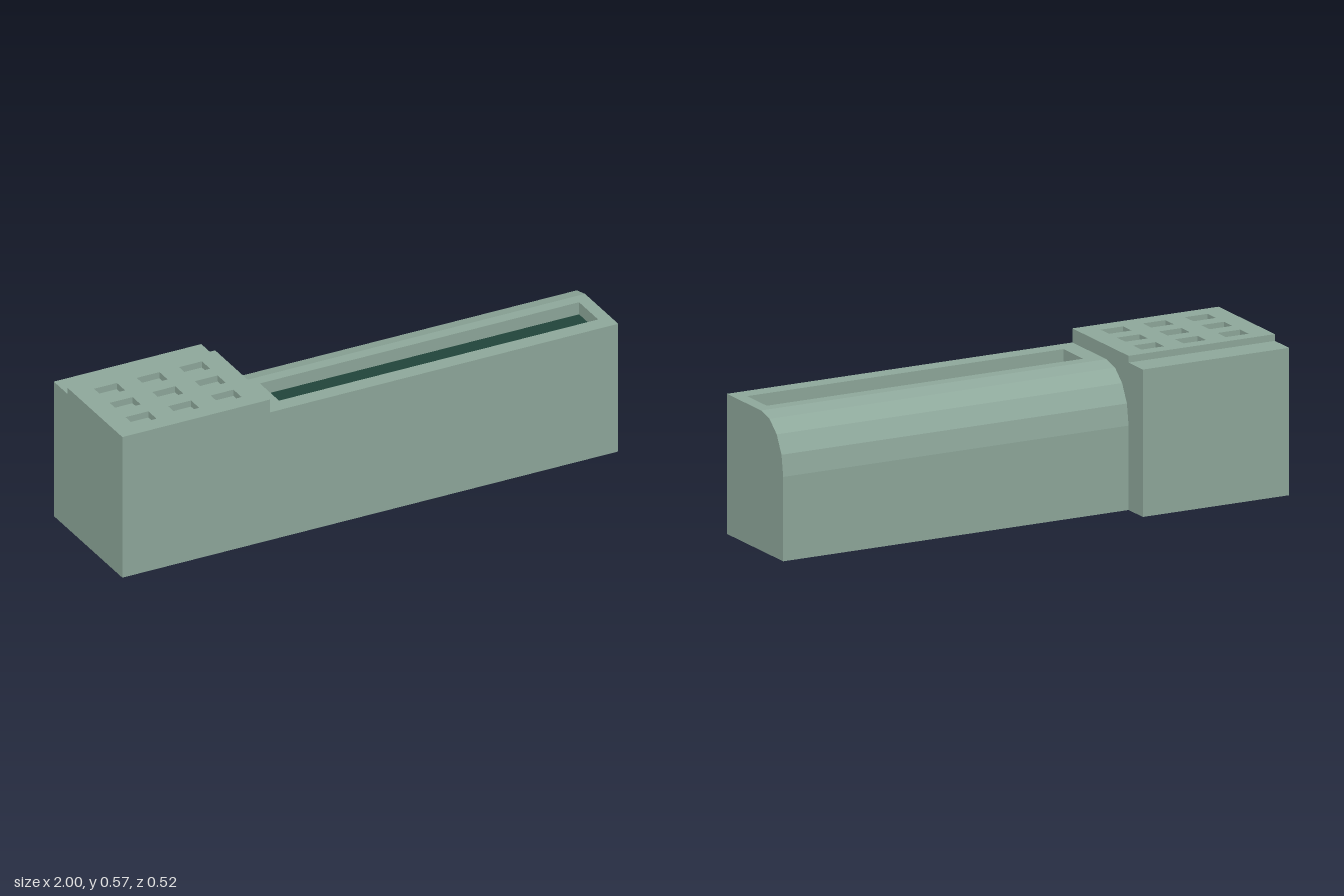
import * as THREE from 'three';

const wall = new THREE.MeshStandardMaterial({ color: 0x8fa99c });
wall.name = 'sage wall';
const glass = new THREE.MeshStandardMaterial({ color: 0x21453b });
glass.name = 'dark green glazing';

const FRONT = 0.26, BACK = -0.26, HALL_BACK = -0.155, SPLIT = -0.405;

function add(group, name, geometry, material = wall) {
  const mesh = new THREE.Mesh(geometry, material);
  mesh.name = name;
  group.add(mesh);
  return mesh;
}

// Box given by its minimum and maximum corners
function block(x0, x1, y0, y1, z0, z1) {
  return new THREE.BoxGeometry(x1 - x0, y1 - y0, z1 - z0)
    .translate((x0 + x1) / 2, (y0 + y1) / 2, (z0 + z1) / 2);
}

// Rectangle in plan, drawn with y = -z
function rect(Type, x0, x1, z0, z1) {
  return new Type([[x0, -z1], [x1, -z1], [x1, -z0], [x0, -z0]]
    .map(([x, y]) => new THREE.Vector2(x, y)));
}

// Horizontal slab with rectangular openings
function slab(outline, holes, y0, y1) {
  const shape = rect(THREE.Shape, ...outline);
  shape.holes = holes.map(h => rect(THREE.Path, ...h));
  return new THREE.ExtrudeGeometry(shape, { depth: y1 - y0, bevelEnabled: false })
    .rotateX(-Math.PI / 2).translate(0, y0, 0);
}

export function createModel() {
  const group = new THREE.Group();
  group.name = 'building';

  // Long hall: section extruded along x, with a faceted rear eave
  const floorY = 0.466, roofY = 0.518, eaveZ = 0.008, eaveY = 0.312;
  const section = [[FRONT, 0], [FRONT, floorY], [eaveZ, floorY]];
  for (let i = 0; i <= 4; i++) {
    const a = (i / 4) * Math.PI / 2;
    section.push([
      eaveZ + (HALL_BACK - eaveZ) * Math.sin(a),
      eaveY + (roofY - eaveY) * Math.cos(a),
    ]);
  }
  section.push([HALL_BACK, 0]);
  const hallShape = new THREE.Shape(section.map(([z, y]) => new THREE.Vector2(-z, y)));
  const hall = new THREE.ExtrudeGeometry(hallShape, { depth: 1 - SPLIT, bevelEnabled: false })
    .rotateY(Math.PI / 2).translate(SPLIT, 0, 0);
  add(group, 'hallBody', hall);

  // Flat roof with the long skylight recess and its glazing
  const slot = [-0.335, 0.952, 0.053, 0.198];
  add(group, 'hallRoof', slab([SPLIT, 1, eaveZ, FRONT], [slot], floorY, roofY));
  add(group, 'skylightGlazing',
    block(slot[0], slot[1], floorY, floorY + 0.003, slot[2], slot[3]), glass);

  // Taller end block
  const ledgeY = 0.545, topY = 0.57;
  add(group, 'endBlock', block(-1, SPLIT, 0, ledgeY, BACK, FRONT));

  // Raised roof slab with a three by three grid of recesses
  const recesses = [];
  for (const x of [-0.874, -0.702, -0.531]) {
    for (const z of [-0.074, 0.045, 0.165]) {
      recesses.push([x - 0.046, x + 0.046, z - 0.031, z + 0.031]);
    }
  }
  add(group, 'endBlockRoof', slab([-1, SPLIT, HALL_BACK, FRONT], recesses, ledgeY, topY));

  return group;
}
